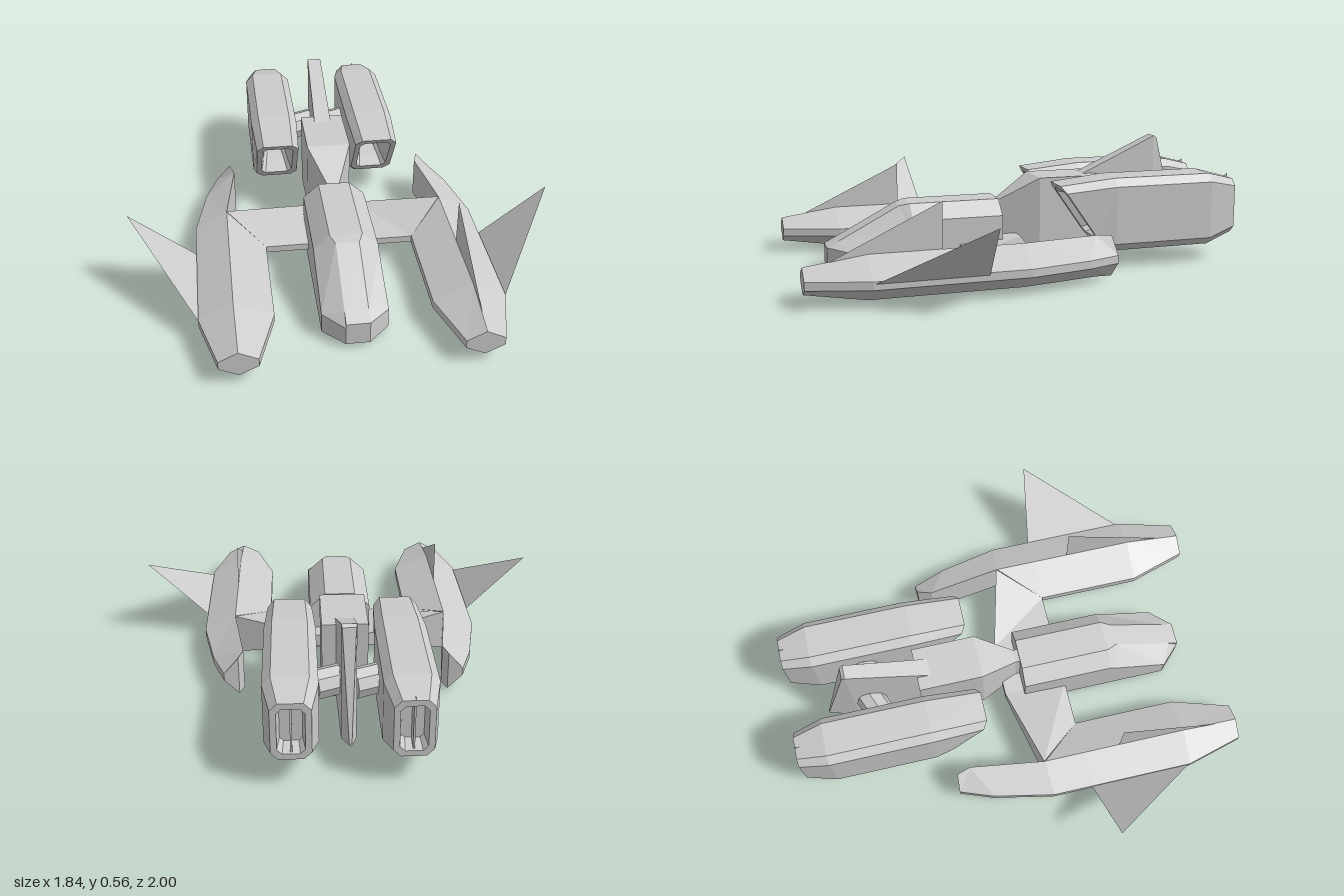
import * as THREE from 'three';

const grey = new THREE.MeshStandardMaterial({ color: 0xcccccc, flatShading: true });
const greyThin = new THREE.MeshStandardMaterial({ color: 0xcccccc, flatShading: true, side: THREE.DoubleSide });

function meshFrom(name, tris, material) {
  const g = new THREE.BufferGeometry();
  g.setAttribute('position', new THREE.Float32BufferAttribute(tris.flat(2), 3));
  g.computeVertexNormals();
  const m = new THREE.Mesh(g, material);
  m.name = name;
  return m;
}

// Closed faceted solid through rings of equal point count; always wound outwards
function loft(name, rings) {
  const tris = [];
  const n = rings[0].length;
  for (let i = 0; i < rings.length - 1; i++) {
    for (let j = 0; j < n; j++) {
      const k = (j + 1) % n;
      const a = rings[i][j], b = rings[i][k], c = rings[i + 1][k], d = rings[i + 1][j];
      tris.push([a, b, c], [a, c, d]);
    }
  }
  const cap = (ring, flip) => {
    const c = [0, 1, 2].map(q => ring.reduce((s, p) => s + p[q], 0) / n);
    for (let j = 0; j < n; j++) {
      const a = ring[j], b = ring[(j + 1) % n];
      tris.push(flip ? [c, b, a] : [c, a, b]);
    }
  };
  cap(rings[0], true);
  cap(rings[rings.length - 1], false);
  let volume = 0;
  const [A, B, C] = [new THREE.Vector3(), new THREE.Vector3(), new THREE.Vector3()];
  for (const t of tris) volume += A.fromArray(t[0]).dot(B.fromArray(t[1]).cross(C.fromArray(t[2])));
  if (volume < 0) tris.forEach(t => t.reverse());
  return meshFrom(name, tris, grey);
}

// Chamfered rectangle; zAt gives z for a height, so the ring may be slanted
function chamferRing(cx, hx, y0, y1, c, zAt) {
  return [
    [cx + hx, y0 + c], [cx + hx, y1 - c], [cx + hx - c, y1], [cx - hx + c, y1],
    [cx - hx, y1 - c], [cx - hx, y0 + c], [cx - hx + c, y0], [cx + hx - c, y0],
  ].map(([x, y]) => [x, y, typeof zAt === 'number' ? zAt : zAt(y)]);
}

const rectRing = (hx, y0, y1, z) => [[hx, y0, z], [hx, y1, z], [-hx, y1, z], [-hx, y0, z]];

function cockpit() {
  // bottom, shoulder and roof on each side: [half width, shoulder y, roof half width, roof y, shoulder z, roof z]
  const ring = (w, s, t, r, zs, zr) => [
    [w, 0.02, zs], [w, s, zs], [t, r, zr], [-t, r, zr], [-w, s, zs], [-w, 0.02, zs],
  ];
  return loft('cockpit', [
    ring(0.14, 0.235, 0.07, 0.3, 0.07, 0.07),
    ring(0.14, 0.235, 0.07, 0.3, 0.48, 0.48),
    ring(0.14, 0.22, 0.05, 0.29, 0.5, 0.525),
    ring(0.14, 0.11, 0.05, 0.145, 0.76, 0.8),
    ring(0.05, 0.1, 0.05, 0.12, 0.85, 0.85),
  ]);
}

function sidePod(s) {
  // hexagonal section: outer edge, ridge line, inner edge
  const ring = (zo, xo, zm, xm, xi, top, bottom) => [
    [s * xo, 0.115, zo], [s * xo, 0.08, zo], [s * xm, bottom, zm],
    [s * xi, 0.08, zm], [s * xi, 0.115, zm], [s * xm, top, zm],
  ];
  return loft('sidePod', [
    ring(1, 0.57, 1, 0.49, 0.41, 0.155, 0.042),
    ring(0.74, 0.64, 0.74, 0.495, 0.33, 0.19, 0),
    ring(0.27, 0.64, 0.27, 0.495, 0.33, 0.19, 0),
    ring(0.09, 0.64, 0.08, 0.495, 0.495, 0.19, 0),
    ring(-0.18, 0.585, -0.26, 0.445, 0.445, 0.19, 0.005),
    ring(-0.33, 0.53, -0.325, 0.465, 0.465, 0.19, 0.01),
  ]);
}

// Wing crossing the hull, thick at the pods and thin at the middle
function crossWing() {
  const ring = (x, zr, top, bottom, xf) => [
    [x, bottom, zr], [x, top, zr], [xf, 0.115, 0.27], [xf, 0.085, 0.27],
  ];
  return loft('crossWing', [
    ring(-0.495, 0.075, 0.19, 0, -0.33),
    ring(-0.12, -0.02, 0.13, 0.075, -0.12),
    ring(0.12, -0.02, 0.13, 0.075, 0.12),
    ring(0.495, 0.075, 0.19, 0, 0.33),
  ]);
}

function engine(s) {
  const g = new THREE.Group();
  g.name = 'engine';
  const cx = s * 0.235;
  const slant = y => -0.15 - (0.38 - y) * 0.7;
  // housing with a slanted intake funnel in front and a recessed nozzle behind
  g.add(loft('engineHousing', [
    chamferRing(cx, 0.045, 0.19, 0.3, 0.015, -0.5),
    chamferRing(cx, 0.06, 0.17, 0.33, 0.015, y => slant(y) - 0.08),
    chamferRing(cx, 0.073, 0.145, 0.36, 0.02, slant),
    chamferRing(cx, 0.098, 0.115, 0.385, 0.03, slant),
    chamferRing(cx, 0.11, 0.08, 0.41, 0.035, -0.4),
    chamferRing(cx, 0.11, 0.08, 0.41, 0.035, -0.865),
    chamferRing(cx, 0.08, 0.125, 0.375, 0.03, -1),
    chamferRing(cx, 0.055, 0.15, 0.35, 0.02, -1),
    chamferRing(cx, 0.045, 0.165, 0.335, 0.015, -0.93),
  ]));
  const vane = new THREE.Mesh(new THREE.BoxGeometry(0.008, 0.2, 0.06), grey);
  vane.name = 'nozzleVane';
  vane.position.set(cx, 0.25, -0.96);
  g.add(vane);
  // small spur over the nozzle
  g.add(meshFrom('nozzleSpur', [[[cx, 0.37, -0.96], [cx, 0.37, -1], [cx, 0.392, -1]]], greyThin));
  // pylon to the tail fin
  const pylon = new THREE.Mesh(new THREE.CylinderGeometry(0.065, 0.065, 0.13, 8), grey);
  pylon.name = 'enginePylon';
  pylon.rotation.set(Math.PI / 8, 0, Math.PI / 2, 'ZYX');
  pylon.position.set(s * 0.08, 0.24, -0.62);
  g.add(pylon);
  return g;
}

function tailFin() {
  // vertical slices [z, bottom, top, half width], the last edge raked backwards
  const slice = (z0, y0, z1, y1, w0, w1) => [
    [w0, y0, z0], [w1, y1, z1], [-w1, y1, z1], [-w0, y0, z0],
  ];
  return loft('tailFin', [
    slice(-0.25, 0.04, -0.25, 0.345, 0.042, 0.042),
    slice(-0.72, 0.025, -0.715, 0.555, 0.032, 0.032),
    slice(-0.855, 0.08, -0.73, 0.545, 0.005, 0.028),
  ]);
}

export function createModel() {
  const model = new THREE.Group();
  model.name = 'spacecraft';
  model.add(cockpit(), crossWing());

  // Neck widening into the rear hull block
  model.add(loft('rearHull', [
    rectRing(0.03, 0.09, 0.29, 0.075),
    rectRing(0.03, 0.09, 0.29, 0.05),
    rectRing(0.1, 0.05, 0.39, -0.12),
    rectRing(0.1, 0.035, 0.39, -0.41),
  ]));
  model.add(tailFin());

  for (const s of [1, -1]) {
    model.add(sidePod(s), engine(s));
    // upright blade on the pod ridge and swept outer winglet
    model.add(meshFrom('ridgeFin', [[
      [s * 0.495, 0.165, 0.9], [s * 0.495, 0.165, 0.43], [s * 0.495, 0.39, 0.43],
    ]], greyThin));
    model.add(meshFrom('winglet', [[
      [s * 0.635, 0.1, 0.74], [s * 0.635, 0.1, 0.27], [s * 0.918, 0.36, 0.31],
    ]], greyThin));
  }
  return model;
}
